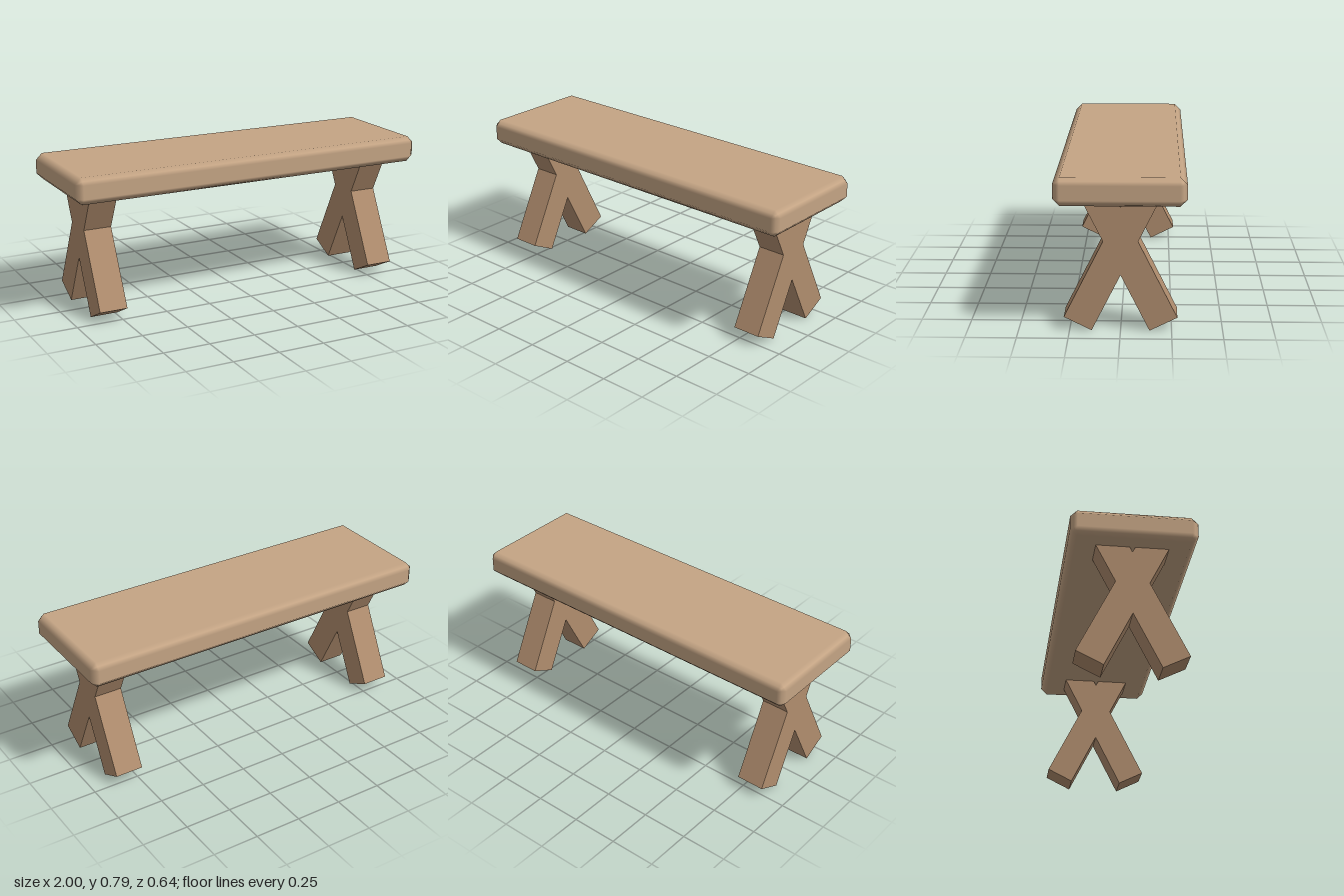
import * as THREE from 'three';

// Box with every edge cut at 45 degrees, shaded softly across the cuts
function chamferedBox(w, h, d, r) {
  const geo = new THREE.BoxGeometry(1, 1, 1, 3, 3, 3);
  const half = [w / 2, h / 2, d / 2];
  const pos = geo.attributes.position, nor = geo.attributes.normal;
  for (let i = 0; i < pos.count; i++) {
    const p = [pos.getX(i), pos.getY(i), pos.getZ(i)];
    const outer = p.map((v) => (Math.abs(v) > 0.4 ? 1 : 0));
    const n = outer[0] + outer[1] + outer[2];
    const q = p.map((v, k) => Math.sign(v) * (half[k] - r + (outer[k] * r) / n));
    const m = p.map((v, k) => (Math.sign(v) * outer[k]) / Math.sqrt(n));
    pos.setXYZ(i, ...q);
    nor.setXYZ(i, ...m);
  }
  return geo;
}

export function createModel() {
  const bench = new THREE.Group();
  bench.name = 'bench';
  const seatWood = new THREE.MeshStandardMaterial({ color: 0xc4a484 });
  const legWood = new THREE.MeshStandardMaterial({ color: 0xb08d6e });

  // Thick plank seat
  const seat = new THREE.Mesh(chamferedBox(2, 0.14, 0.638, 0.034), seatWood);
  seat.name = 'seat';
  seat.position.y = 0.721;
  bench.add(seat);

  // Crossed square beams at each end, tops buried in the seat
  const beam = new THREE.BoxGeometry(0.15, 0.755, 0.152);
  for (const side of [1, -1]) {
    const trestle = new THREE.Group();
    trestle.name = side > 0 ? 'leftTrestle' : 'rightTrestle';
    trestle.position.x = side * 0.81;
    for (const lean of [1, -1]) {
      const leg = new THREE.Mesh(beam, legWood);
      leg.name = lean > 0 ? 'frontLeg' : 'backLeg';
      leg.position.set(0, 0.372, lean * 0.041);
      leg.rotation.x = -lean * 0.464;
      trestle.add(leg);
    }
    bench.add(trestle);
  }
  return bench;
}
